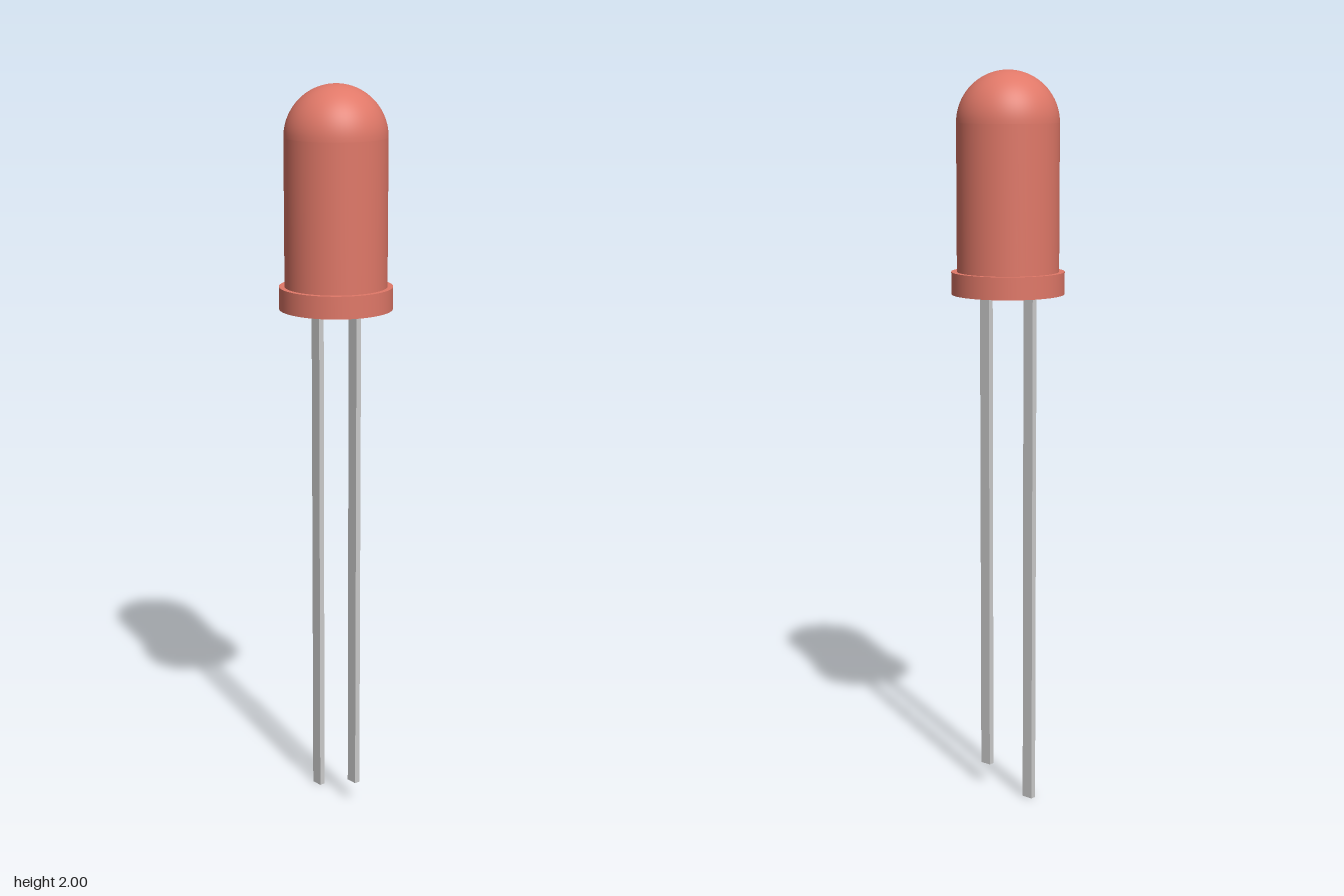
import * as THREE from 'three';

export function createModel() {
  const group = new THREE.Group();
  const red = new THREE.MeshStandardMaterial({ color: 0xe07868 });
  const grey = new THREE.MeshStandardMaterial({ color: 0xcccccc });

  const add = (name, geometry, material, x, y, z) => {
    const mesh = new THREE.Mesh(geometry, material);
    mesh.name = name;
    mesh.position.set(x, y, z);
    group.add(mesh);
  };

  const baseY = 1.41, flangeTop = 1.47, flangeR = 0.152, bodyR = 0.137;
  const domeY = 2 - bodyR;

  // Flange: flat disc with sharp rims
  add('flange', new THREE.CylinderGeometry(flangeR, flangeR, flangeTop - baseY, 64),
    red, 0, (baseY + flangeTop) / 2, 0);

  // Lens: straight wall running smoothly into a hemispherical dome
  const profile = [new THREE.Vector2(bodyR, flangeTop), new THREE.Vector2(bodyR, domeY - 0.001)];
  const steps = 20;
  for (let i = 0; i <= steps; i++) {
    const a = (i / steps) * Math.PI / 2;
    profile.push(new THREE.Vector2(i === steps ? 0 : bodyR * Math.cos(a), domeY + bodyR * Math.sin(a)));
  }
  add('lens', new THREE.LatheGeometry(profile, 64), red, 0, 0, 0);

  // Leads: flat rectangular pins, the front one cut shorter
  for (const [name, z, bottom] of [['shortLead', 0.077, 0.062], ['longLead', -0.077, 0]]) {
    const height = baseY - bottom;
    add(name, new THREE.BoxGeometry(0.016, height, 0.032), grey, 0, bottom + height / 2, z);
  }

  return group;
}
